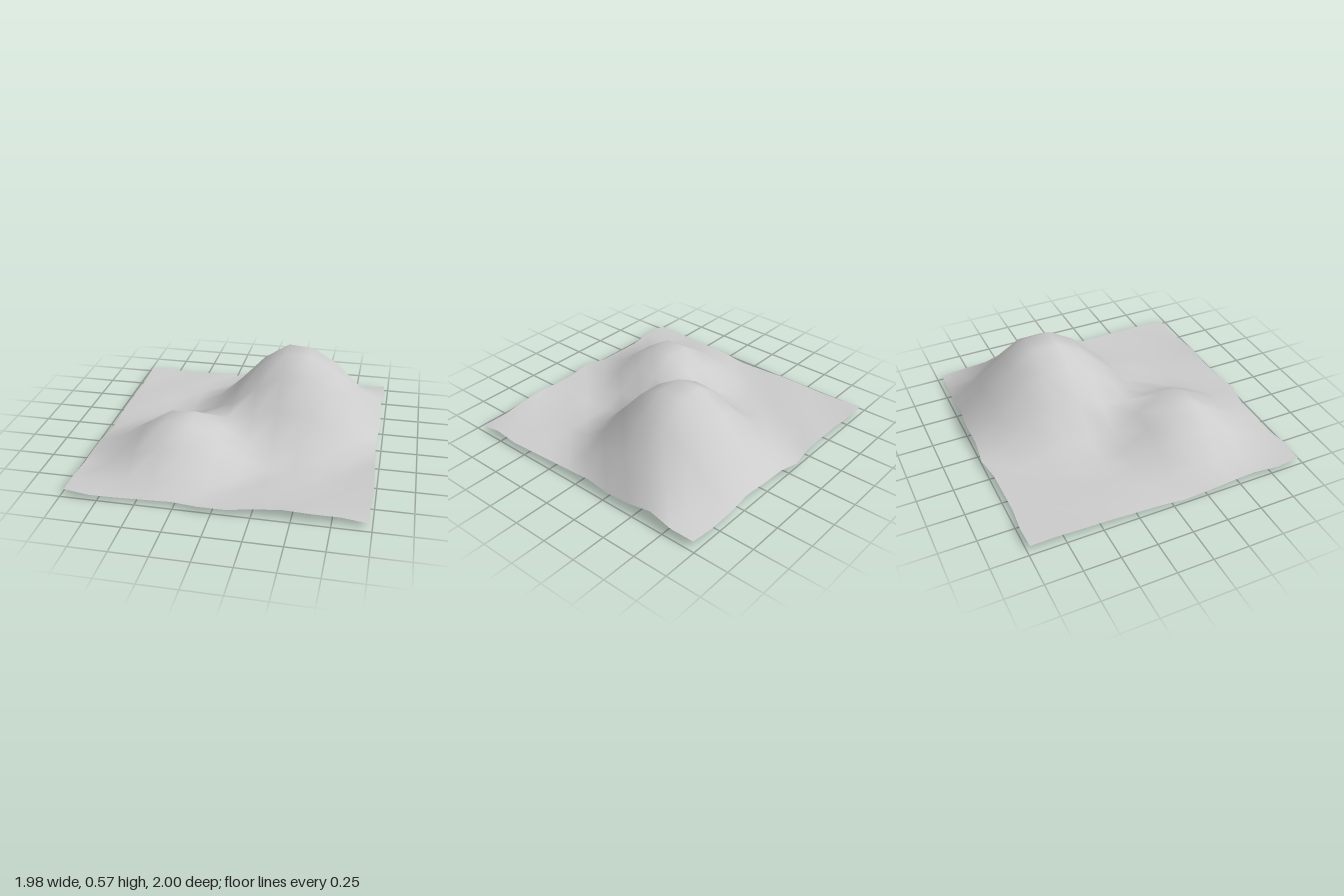
import * as THREE from 'three';

const CELLS = 11;
const HALF = 0.98;

// Hills: centre, height and radius
const hills = [
  { x: 0.35, z: -0.35, height: 0.565, radius: 0.76 },
  { x: -0.35, z: 0.35, height: 0.305, radius: 0.57 },
];

// Uneven outline of the sheet, one value per grid point
const backZ = [-0.98, -0.985, -0.967, -0.972, -0.975, -1, -0.985, -0.995, -0.98, -0.985, -0.97, -0.97];
const frontZ = [0.97, 0.99, 0.97, 0.968, 0.965, 1, 0.985, 0.965, 0.96, 0.955, 0.94, 0.955];
const leftX = [-0.965, -0.957, -0.96, -0.965, -0.97, -0.97, -0.975, -0.985, -0.98, -0.975, -0.99, -0.98];
const rightX = [0.97, 0.98, 0.962, 0.972, 0.975, 0.965, 0.965, 0.97, 0.98, 0.985, 0.975, 0.98];

// Border heights
const frontY = [0.04, 0.03, 0.02, 0.025, 0.03, 0.04, 0.03, 0.045, 0.06, 0.05, 0.04, 0.03];
const rightY = [0.05, 0.06, 0.085, 0.06, 0.05, 0.065, 0.05, 0.045, 0.045, 0.04, 0.05, 0.03];
const leftY = [0.04, 0.035, 0.03, 0.03, 0.025, 0.015, 0, 0.02, 0.03, 0.035, 0.03, 0.04];

// Rounded bump that meets the ground smoothly at its radius
function hillHeight(hill, x, z) {
  const d2 = ((x - hill.x) ** 2 + (z - hill.z) ** 2) / hill.radius ** 2;
  return d2 < 1 ? hill.height * (1 - d2) ** 2 : 0;
}

export function createModel() {
  const group = new THREE.Group();
  group.name = 'hillyLandscape';

  const ground = new THREE.MeshStandardMaterial({ color: 0xcccccc, side: THREE.DoubleSide });
  ground.name = 'light grey ground';

  const geometry = new THREE.PlaneGeometry(2 * HALF, 2 * HALF, CELLS, CELLS);
  geometry.rotateX(-Math.PI / 2);
  const pos = geometry.attributes.position;

  // Raise the hills and roughen the border
  for (let row = 0; row <= CELLS; row++) {
    for (let col = 0; col <= CELLS; col++) {
      const i = row * (CELLS + 1) + col;
      let x = pos.getX(i);
      let z = pos.getZ(i);
      let y = 0.035 + 0.006 * Math.sin(col * 2.3 + row * 1.7);
      for (const hill of hills) y += hillHeight(hill, x, z);

      if (row === 0) z = backZ[col];
      if (row === CELLS) {
        z = frontZ[col];
        y = frontY[col];
      }
      if (col === 0) {
        x = leftX[row];
        y = leftY[row];
      }
      if (col === CELLS) {
        x = rightX[row];
        y = rightY[row];
      }
      pos.setXYZ(i, x, y, z);
    }
  }
  geometry.computeVertexNormals();

  const terrain = new THREE.Mesh(geometry, ground);
  terrain.name = 'terrain';
  group.add(terrain);
  return group;
}
